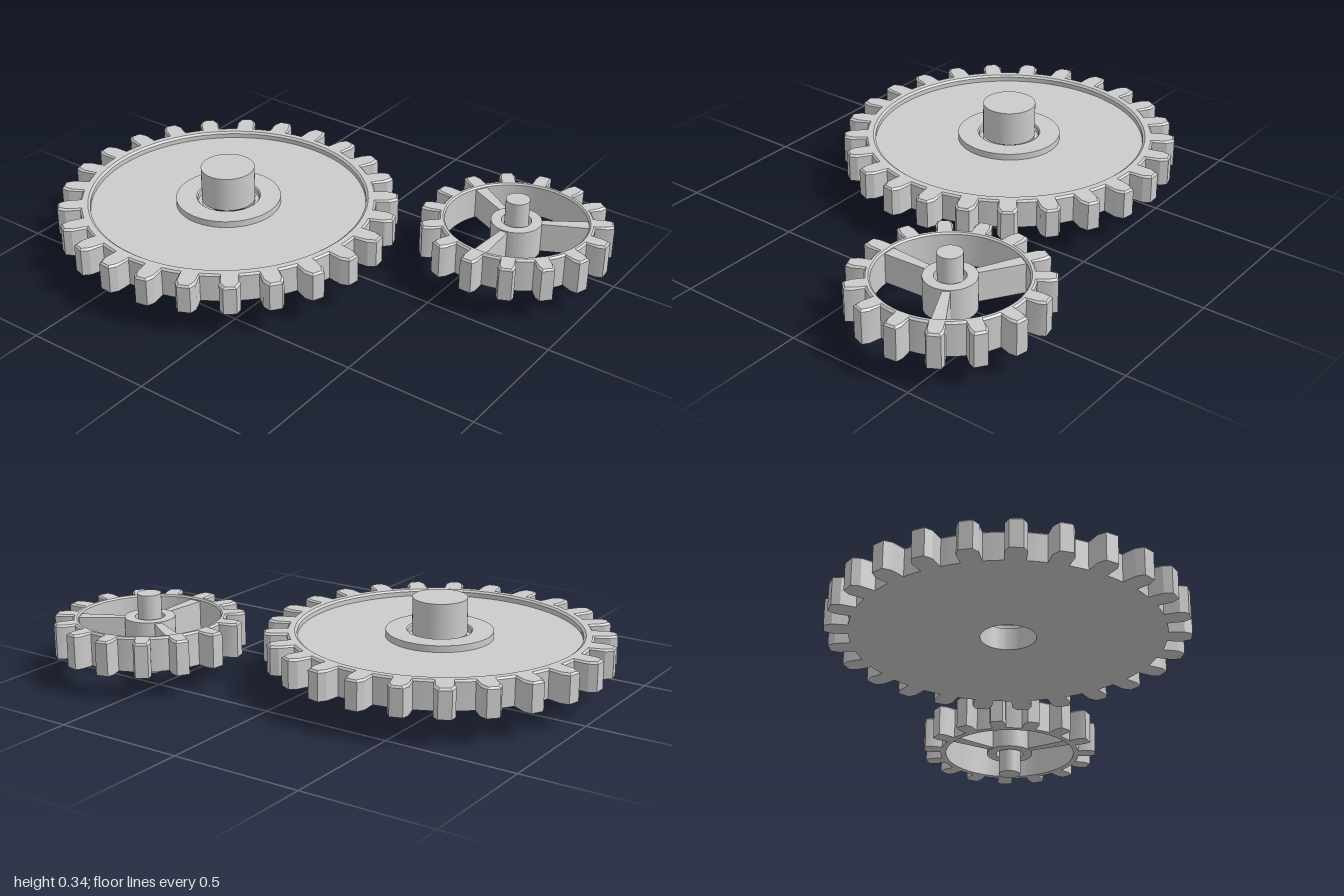
import * as THREE from 'three';
import { toCreasedNormals } from 'three/addons/utils/BufferGeometryUtils.js';

const material = new THREE.MeshStandardMaterial({ color: 0xcccccc });

function add(parent, geometry, name, y = 0) {
  const mesh = new THREE.Mesh(geometry, material);
  mesh.name = name;
  mesh.position.y = y;
  parent.add(mesh);
  return mesh;
}

// Toothed outline as [radius, angle] pairs; inset shrinks it for the bevel
function outline({ teeth, phase, root, shoulder, tip }, inset = 0) {
  const points = [];
  const pitch = (Math.PI * 2) / teeth;
  const half = [root, shoulder, tip];
  for (let i = 0; i < teeth; i++) {
    const mid = phase + i * pitch;
    for (const [side, order] of [[-1, half], [1, [...half].reverse()]]) {
      for (const [r, w] of order) {
        points.push([r - inset, mid + side * Math.atan2(w - inset, r - inset)]);
      }
    }
    // extra points along the gap keep the rim round
    const gap = Math.atan2(root[1], root[0]);
    for (const t of [1 / 3, 2 / 3]) {
      points.push([root[0] - inset, mid + gap + (pitch - 2 * gap) * t]);
    }
  }
  return points;
}

// Closed loft: bevelled toothed outside followed by circular [radius, y] rings
function gearBody(spec, bottom, top, circles, bevel = 0.007) {
  const outer = outline(spec);
  const rings = [
    outer.map(([r, a]) => [r, bottom, a]),
    outer.map(([r, a]) => [r, top - bevel, a]),
    outline(spec, bevel).map(([r, a]) => [r, top, a]),
    ...circles.map(([r, y]) => outer.map(([, a]) => [r, y, a])),
  ];
  const n = outer.length;
  const positions = [];
  const index = [];
  for (const ring of rings) {
    for (const [r, y, a] of ring) positions.push(r * Math.cos(a), y, -r * Math.sin(a));
  }
  for (let j = 0; j < rings.length; j++) {
    const next = (j + 1) % rings.length;
    for (let i = 0; i < n; i++) {
      const k = (i + 1) % n;
      const a = j * n + i, b = j * n + k, c = next * n + k, d = next * n + i;
      index.push(a, b, c, a, c, d);
    }
  }
  const geometry = new THREE.BufferGeometry();
  geometry.setAttribute('position', new THREE.Float32BufferAttribute(positions, 3));
  geometry.setIndex(index);
  return toCreasedNormals(geometry, 0.4);
}

function pin(radius, bottom, top) {
  return new THREE.CylinderGeometry(radius, radius, top - bottom, 48)
    .translate(0, (top + bottom) / 2, 0);
}

export function createModel() {
  const model = new THREE.Group();
  model.name = 'gearPair';

  // Large gear: dished disc with a raised hub ring and counterbored hole
  const large = new THREE.Group();
  large.name = 'largeGear';
  large.position.set(-0.1, 0, -0.35);
  add(large, gearBody(
    { teeth: 25, phase: Math.PI / 2, root: [0.565, 0.036], shoulder: [0.622, 0.038], tip: [0.65, 0.024] },
    0.1, 0.21,
    [[0.535, 0.21], [0.526, 0.203], [0.526, 0.185], [0.2, 0.185], [0.2, 0.21],
      [0.122, 0.21], [0.117, 0.205], [0.117, 0.185], [0.1, 0.185], [0.1, 0.1]],
  ), 'largeGearBody');
  add(large, pin(0.102, 0.2, 0.335), 'largeGearPin');
  model.add(large);

  // Small gear: open rim, three spokes, hub sleeve and through pin
  const small = new THREE.Group();
  small.name = 'smallGear';
  small.position.set(0.385, 0, 0.635);
  add(small, gearBody(
    { teeth: 15, phase: Math.PI, root: [0.29, 0.028], shoulder: [0.335, 0.032], tip: [0.36, 0.024] },
    0.09, 0.22,
    [[0.273, 0.22], [0.267, 0.214], [0.267, 0.09]],
  ), 'smallGearRim');

  const hub = new THREE.Shape().absarc(0, 0, 0.095, 0, Math.PI * 2);
  hub.holes.push(new THREE.Path().absarc(0, 0, 0.056, 0, Math.PI * 2, true));
  add(small, toCreasedNormals(
    new THREE.ExtrudeGeometry(hub, { depth: 0.125, bevelEnabled: false, curveSegments: 40 })
      .rotateX(-Math.PI / 2), 0.5), 'smallGearHub', 0.09);

  // Spokes widen towards the rim
  const spoke = new THREE.Shape([[0.085, -0.014], [0.272, -0.025], [0.272, 0.025], [0.085, 0.014]]
    .map(([x, y]) => new THREE.Vector2(x, y)));
  const spokeGeometry = new THREE.ExtrudeGeometry(spoke, { depth: 0.115, bevelEnabled: false })
    .rotateX(-Math.PI / 2);
  for (let i = 0; i < 3; i++) {
    add(small, spokeGeometry, 'spoke', 0.095).rotation.y = Math.PI + (i * Math.PI * 2) / 3;
  }
  add(small, pin(0.045, 0, 0.305), 'smallGearPin');
  model.add(small);

  return model;
}
